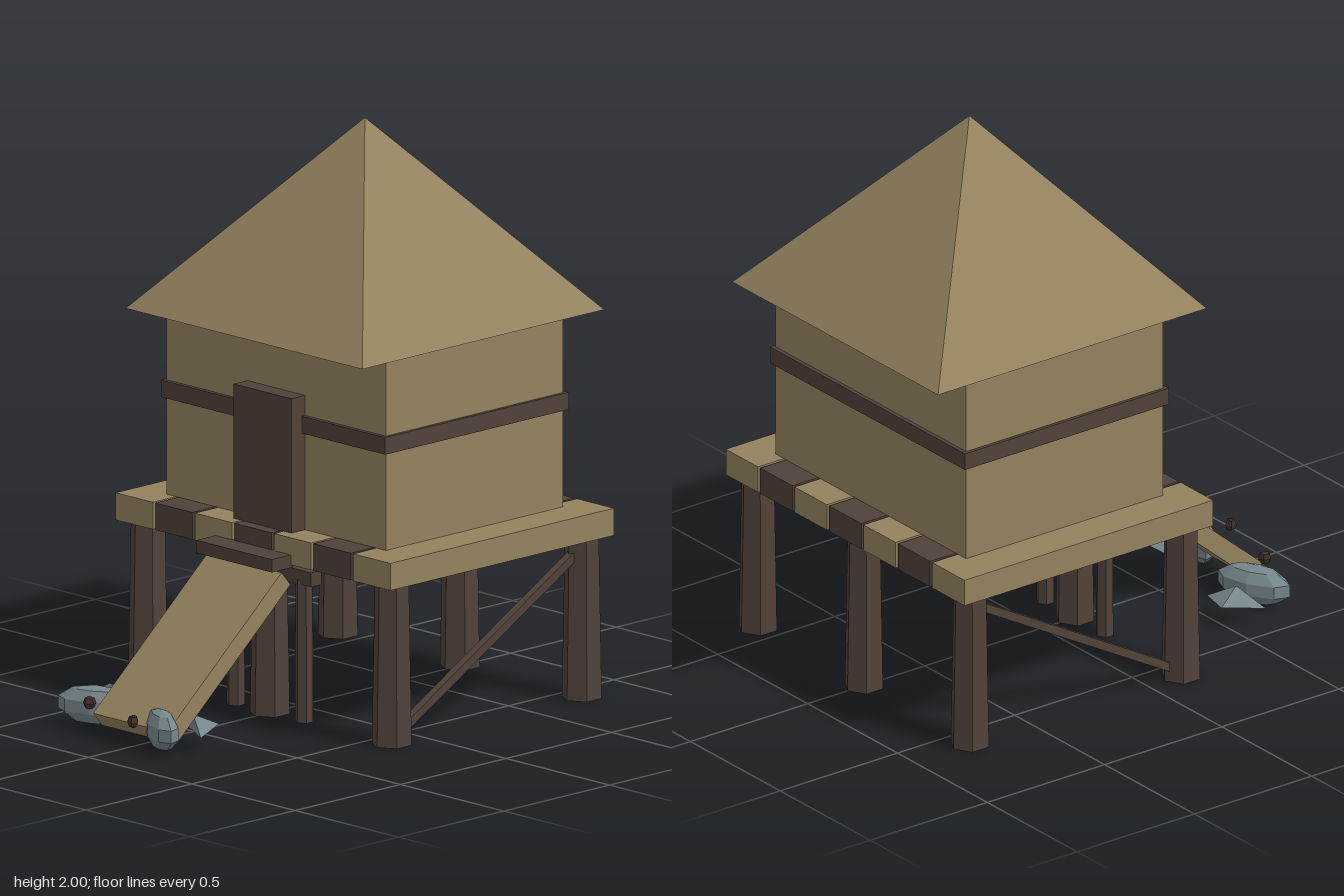
import * as THREE from 'three';

const material = (name, color) => {
  const m = new THREE.MeshStandardMaterial({ color, flatShading: true });
  m.name = name;
  return m;
};

export function createModel() {
  const lightWood = material('lightWood', 0x94825e);
  const darkWood = material('darkWood', 0x50423a);
  const fishGrey = material('fishGrey', 0x76878b);
  const eyeBrown = material('eyeBrown', 0x3f302a);

  const model = new THREE.Group();
  model.name = 'stiltHut';

  const add = (name, geometry, mat, x, y, z, parent = model) => {
    const mesh = new THREE.Mesh(geometry, mat);
    mesh.name = name;
    mesh.position.set(x, y, z);
    parent.add(mesh);
    return mesh;
  };
  // Box given by its size, centre x/z and bottom height
  const box = (name, mat, w, h, d, x, y0, z) =>
    add(name, new THREE.BoxGeometry(w, h, d), mat, x, y0 + h / 2, z);

  // Hut
  const hutZ = -0.31;
  box('walls', lightWood, 1.06, 0.67, 0.84, 0, 0.66, hutZ);
  box('wallBand', darkWood, 1.085, 0.06, 0.87, 0, 1.0, hutZ);
  box('door', darkWood, 0.28, 0.47, 0.08, 0, 0.66, 0.135);
  const roof = new THREE.ConeGeometry(0.573 * Math.SQRT2, 0.67, 4).rotateY(Math.PI / 4);
  add('roof', roof, lightWood, 0, 1.665, hutZ);

  // Deck planks in alternating colours
  for (let i = -3; i <= 3; i++) {
    box('deckPlank', i % 2 ? lightWood : i === 0 || Math.abs(i) === 2 ? darkWood : lightWood,
      0.18, 0.095, 1.06, i * 0.1915, 0.565, hutZ);
  }

  // Six tapered stilts
  for (const x of [-0.59, 0, 0.59]) {
    for (const z of [0.14, -0.76]) {
      add('stilt', new THREE.CylinderGeometry(0.06, 0.07, 0.565, 6), darkWood, x, 0.2825, z);
    }
  }

  // Diagonal side braces and the slim posts below the step
  for (const s of [-1, 1]) {
    const brace = add('brace', new THREE.BoxGeometry(0.03, 0.03, 0.94), darkWood, s * 0.59, 0.28, -0.32);
    brace.rotation.x = Math.atan2(0.44, 0.78);
    add('slimPost', new THREE.CylinderGeometry(0.03, 0.032, 0.5, 6), darkWood, s * 0.165, 0.25, 0.14);
  }
  box('crossbar', darkWood, 0.45, 0.05, 0.05, 0, 0.485, 0.14);

  // Step and ramp
  box('step', darkWood, 0.366, 0.045, 0.1, 0, 0.555, 0.26);
  const ramp = add('ramp', new THREE.BoxGeometry(0.36, 0.065, 0.71), lightWood, 0, 0.29, 0.51);
  ramp.rotation.x = Math.atan2(0.46, 0.54);

  // Two fish: broad body, flat tail behind, one eye in front
  const fish = (x, z, yaw, size) => {
    const group = new THREE.Group();
    group.name = 'fish';
    group.position.set(x, 0.075, z);
    group.rotation.y = yaw;
    group.scale.set(size, 1, size);
    model.add(group);
    add('fishBody', new THREE.SphereGeometry(1, 8, 5).scale(0.145, 0.07, 0.062), fishGrey, 0, 0, 0, group);
    const tail = new THREE.ConeGeometry(1, 0.108, 3).scale(0.13, 1, 0.04).rotateX(-Math.PI / 2);
    add('fishTail', tail, fishGrey, 0, 0.005, -0.184, group);
    add('fishEye', new THREE.SphereGeometry(0.024, 5, 4), eyeBrown, 0.025, 0.04, 0.125, group);
  };
  fish(-0.28, 0.69, 0.43, 1);
  fish(0.11, 0.76, -0.5, 0.85);

  return model;
}
